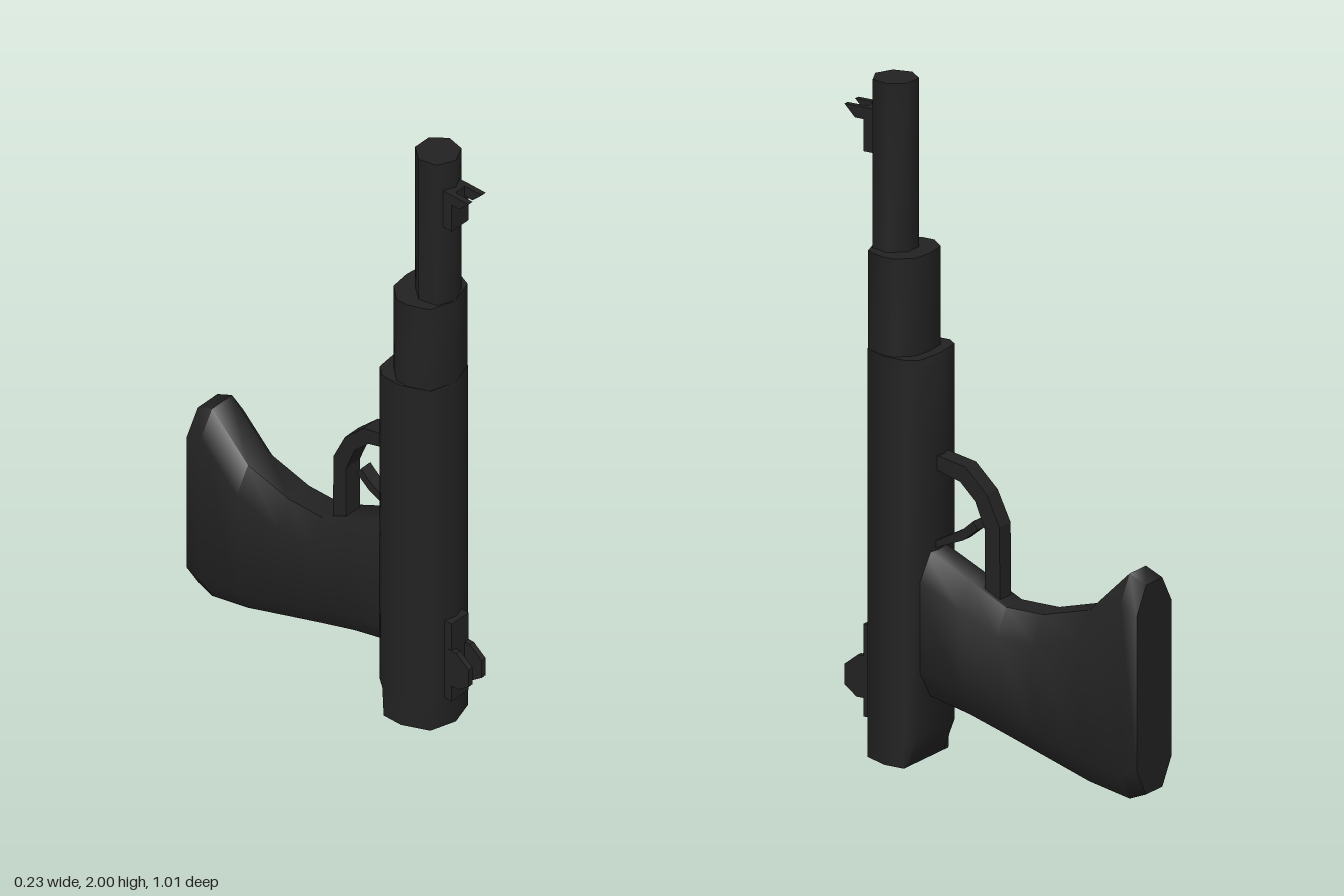
import * as THREE from 'three';
import { toCreasedNormals } from 'three/addons/utils/BufferGeometryUtils.js';

// Skin a list of equal-length rings, closing both ends.
function loft(rings, crease = 1.0) {
  const pos = [];
  const tri = (a, b, c) => pos.push(...a, ...b, ...c);
  const n = rings[0].length;
  for (let r = 0; r < rings.length - 1; r++) {
    const a = rings[r], b = rings[r + 1];
    for (let i = 0; i < n; i++) {
      const j = (i + 1) % n;
      tri(a[i], a[j], b[j]);
      tri(a[i], b[j], b[i]);
    }
  }
  const first = rings[0], last = rings[rings.length - 1];
  for (let i = 1; i < n - 1; i++) {
    tri(first[0], first[i + 1], first[i]);
    tri(last[0], last[i], last[i + 1]);
  }
  const g = new THREE.BufferGeometry();
  g.setAttribute('position', new THREE.Float32BufferAttribute(pos, 3));
  return toCreasedNormals(g, crease);
}

// Complete a half outline [x, z] that runs from the front ridge to the back ridge.
const mirrored = (half) => [
  ...half,
  ...half.slice(1).reverse().filter(([x]) => x > 0).map(([x, z]) => [-x, z]),
];

// Flat plate with a [z, y] outline, extruded across x.
function sidePlate(points, width, x = 0) {
  const shape = new THREE.Shape(points.map(([z, y]) => new THREE.Vector2(z, y)));
  const g = new THREE.ExtrudeGeometry(shape, { depth: width, bevelEnabled: false });
  g.rotateY(-Math.PI / 2);
  g.translate(x + width / 2, 0, 0);
  return g;
}

export function createModel() {
  const model = new THREE.Group();
  const gunmetal = new THREE.MeshStandardMaterial({ color: 0x222222 });
  gunmetal.name = 'gunmetal';
  const add = (name, geometry) => {
    const mesh = new THREE.Mesh(geometry, gunmetal);
    mesh.name = name;
    model.add(mesh);
    return mesh;
  };

  // Barrel: seven sides with a ridge at the front
  const barrel = [];
  for (let i = 0; i < 7; i++) {
    const a = (i / 7) * Math.PI * 2;
    barrel.push([0.067 * Math.sin(a), 0.363 + 0.067 * Math.cos(a)]);
  }
  add('barrel', loft([1.45, 2].map((y) => barrel.map(([x, z]) => [x, y, z]))));

  // Sleeve between barrel and receiver
  const sleeve = mirrored([[0, 0.43], [0.08, 0.403], [0.106, 0.34], [0.106, 0.3], [0.065, 0.253], [0, 0.245]]);
  add('sleeve', loft([1.18, 1.5].map((y) => sleeve.map(([x, z]) => [x, y, z]))));

  // Receiver: the back is trimmed to a different depth at each height
  const receiver = mirrored([[0, 0.43], [0.08, 0.405], [0.115, 0.325], [0.115, 0.255], [0.09, 0.222], [0, 0.196]]);
  const trims = [[0, 0.26], [0.1, 0.217], [0.62, 0.214], [0.95, 0.196], [1.185, 0.198], [1.21, 0.212]];
  add('receiver', loft(trims.map(([y, back]) => receiver.map(([x, z]) => [x, y, Math.max(z, back)]))));

  // Grip: chamfered sections [z, top, bottom] from butt to receiver
  const sections = [
    [-0.505, 0.66, 0.04], [-0.45, 0.685, 0.018], [-0.315, 0.553, 0.045], [-0.16, 0.511, 0.095],
    [-0.035, 0.511, 0.135], [0.085, 0.568, 0.172], [0.25, 0.645, 0.21],
  ];
  const w = 0.09, inset = 0.042, c = 0.08;
  add('grip', loft(sections.map(([z, t, b]) => [
    [w, b + c, z], [w, t - c, z], [inset, t, z], [-inset, t, z],
    [-w, t - c, z], [-w, b + c, z], [-inset, b, z], [inset, b, z],
  ])));

  // Trigger guard and trigger
  add('triggerGuard', sidePlate([
    [0.23, 0.917], [0.2, 0.914], [0.11, 0.897], [0.038, 0.828], [-0.005, 0.738], [-0.007, 0.5],
    [0.043, 0.5], [0.043, 0.72], [0.075, 0.8], [0.127, 0.85], [0.2, 0.87], [0.23, 0.875],
  ], 0.058));
  add('trigger', sidePlate([
    [0.23, 0.65], [0.2, 0.665], [0.125, 0.706], [0.09, 0.737],
    [0.074, 0.714], [0.122, 0.675], [0.2, 0.643], [0.23, 0.63],
  ], 0.04));

  // Sights: a base plate carrying a pair of ears
  const sights = [
    ['frontSight', 1.775, 1.905, [[0.43, 1.905], [0.51, 1.905], [0.475, 1.87], [0.43, 1.87]]],
    ['rearSight', 0.1, 0.375, [[0.43, 0.28], [0.465, 0.28], [0.51, 0.245], [0.51, 0.185], [0.47, 0.155], [0.43, 0.155]]],
  ];
  for (const [name, y0, y1, ear] of sights) {
    add(name + 'Base', sidePlate([[0.4, y0], [0.446, y0], [0.446, y1], [0.4, y1]], 0.072));
    for (const s of [1, -1]) {
      add(name + (s > 0 ? 'LeftEar' : 'RightEar'), sidePlate(ear, 0.017, s * 0.028));
    }
  }
  return model;
}
